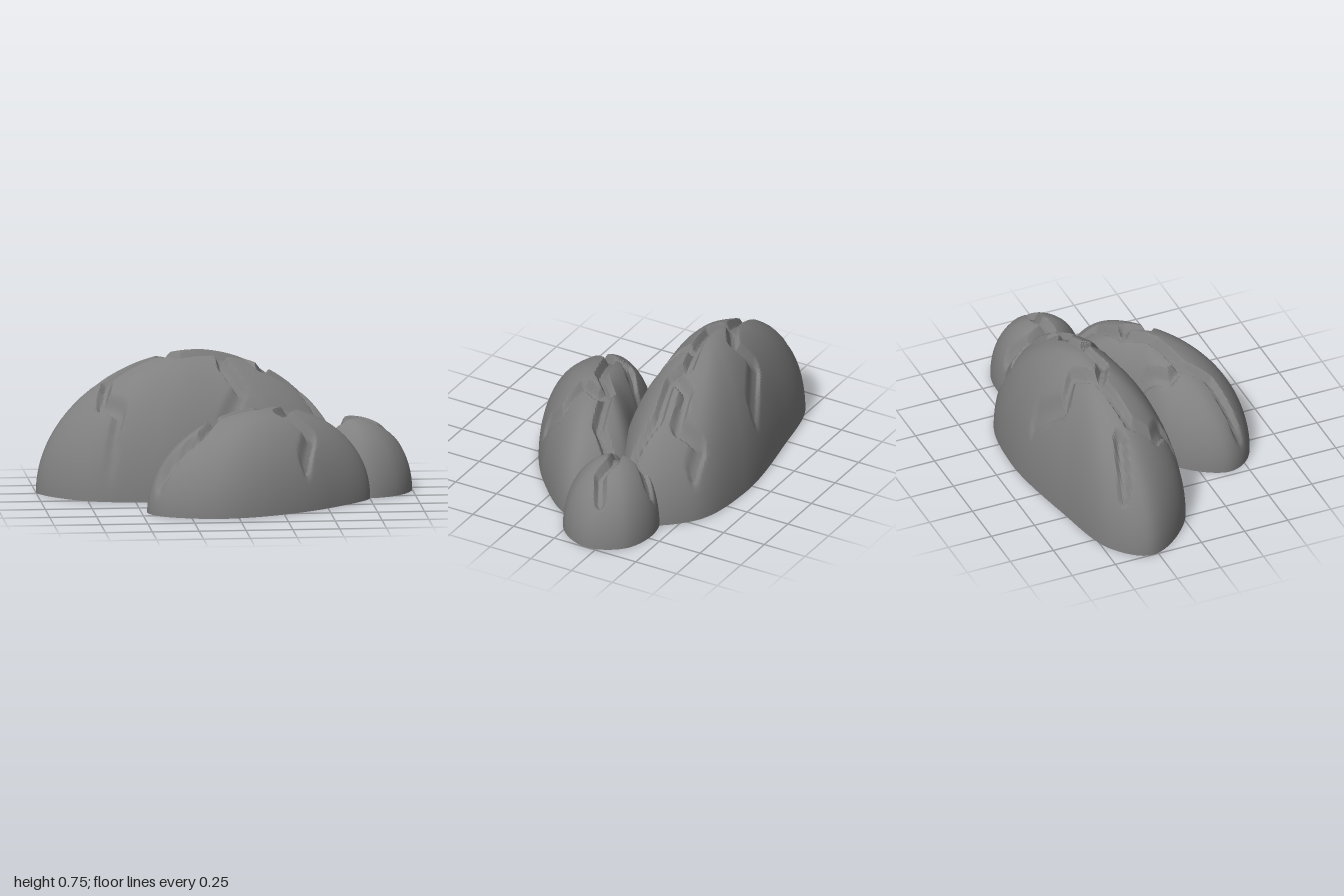
import * as THREE from 'three';
import { toCreasedNormals } from 'three/addons/utils/BufferGeometryUtils.js';

const { clamp } = THREE.MathUtils;

// Distance in plan from a point to the nearest crack; a crack is a flat list x, z, x, z...
function crackDistance(x, z, cracks) {
  let best = Infinity;
  for (const line of cracks) {
    for (let i = 0; i + 3 < line.length; i += 2) {
      const dx = line[i + 2] - line[i], dz = line[i + 3] - line[i + 1];
      const px = x - line[i], pz = z - line[i + 1];
      const t = clamp((px * dx + pz * dz) / (dx * dx + dz * dz), 0, 1);
      best = Math.min(best, Math.hypot(px - t * dx, pz - t * dz));
    }
  }
  return best;
}

// Dome built from scaled footprint rings, with grooves cut straight down along the cracks.
// The outline is a flat list x, z, x, z... that runs the same way round for every boulder.
function boulderGeometry(outline, cx, cz, height, power, around, rings, cracks) {
  const corners = [];
  for (let i = 0; i < outline.length; i += 2) corners.push(new THREE.Vector3(outline[i], 0, outline[i + 1]));
  const rim = new THREE.CatmullRomCurve3(corners, true).getSpacedPoints(around).slice(0, around);

  const positions = [], index = [];
  const addPoint = (x, z, r) => {
    const dome = height * Math.sqrt(Math.max(0, 1 - r ** power));
    const groove = clamp((0.036 - crackDistance(x, z, cracks)) / 0.024, 0, 1);
    positions.push(x, dome - 0.05 * groove * Math.min(1, dome / 0.25), z);
  };
  addPoint(cx, cz, 0);
  for (let k = 1; k <= rings; k++) {
    const r = k === rings ? 1 : Math.sin((k / rings) * Math.PI / 2);
    for (const p of rim) addPoint(cx + (p.x - cx) * r, cz + (p.z - cz) * r, r);
  }

  // dome faces and the flat underside
  const base = positions.length / 3, last = 1 + (rings - 1) * around;
  positions.push(cx, 0, cz);
  for (let i = 0; i < around; i++) {
    const j = (i + 1) % around;
    index.push(0, 1 + i, 1 + j, base, last + j, last + i);
    for (let k = 0; k < rings - 1; k++) {
      const a = 1 + k * around, b = a + around;
      index.push(a + i, b + i, b + j, a + i, b + j, a + j);
    }
  }
  const geometry = new THREE.BufferGeometry();
  geometry.setAttribute('position', new THREE.Float32BufferAttribute(positions, 3));
  geometry.setIndex(index);
  return toCreasedNormals(geometry, 0.5);
}

export function createModel() {
  const model = new THREE.Group();
  model.name = 'crackedBoulders';
  const stone = new THREE.MeshStandardMaterial({ color: 0x808080 });
  stone.name = 'stone grey';
  const add = (name, geometry) => {
    const mesh = new THREE.Mesh(geometry, stone);
    mesh.name = name;
    model.add(mesh);
  };

  // long tall boulder at the back: one crest crack with side branches
  const largeOutline = [-1, -0.28, -0.78, 0, -0.4, 0.09, 0.03, 0.045, 0.38, -0.03,
    0.655, -0.28, 0.46, -0.56, 0.08, -0.637, -0.45, -0.57, -0.86, -0.465];
  const largeCrest = [-0.64, 0.05, -0.57, -0.05, -0.66, -0.13, -0.62, -0.25, -0.355, -0.305,
    -0.24, -0.24, -0.02, -0.28, 0.11, -0.31, 0.19, -0.255, 0.4, -0.295, 0.59, -0.2];
  const largeBranches = [
    [-0.355, -0.305, -0.21, -0.4, -0.29, -0.48, -0.115, -0.57],
    [0.19, -0.255, 0.23, -0.37, 0.39, -0.4, 0.35, -0.52, 0.43, -0.52],
    [-0.02, -0.28, -0.01, -0.18, 0.08, -0.1, -0.02, 0],
    [-0.85, -0.38, -0.67, -0.33],
  ];
  add('largeBoulder', boulderGeometry(largeOutline, -0.15, -0.3, 0.755, 1.8, 220, 80,
    [largeCrest, ...largeBranches]));

  // lower boulder set diagonally in front
  const frontOutline = [-0.47, 0.39, -0.4, 0.53, -0.13, 0.63, 0.14, 0.58, 0.51, 0.35,
    0.755, 0.03, 0.5, -0.165, 0.08, 0, -0.3, 0.14];
  const frontCracks = [
    [-0.4, 0.47, -0.18, 0.4, -0.09, 0.28, 0.14, 0.21, 0.25, 0.1, 0.48, 0.03, 0.56, -0.1],
    [-0.09, 0.28, -0.12, 0.2, -0.02, 0.11, 0, 0.03],
    [0.25, 0.1, 0.32, 0.13, 0.25, 0.25, 0.41, 0.29, 0.37, 0.4],
  ];
  add('frontBoulder', boulderGeometry(frontOutline, 0.17, 0.2, 0.525, 2, 220, 80, frontCracks));

  // small round boulder at the left end
  const smallOutline = [1, -0.2, 0.9, -0.385, 0.69, -0.435, 0.52, -0.36, 0.52, -0.08, 0.73, 0.065, 0.91, -0.01];
  const smallCracks = [
    [0.54, -0.2, 0.62, -0.17, 0.72, -0.2, 0.82, -0.18, 0.91, -0.23],
    [0.62, -0.17, 0.6, -0.3, 0.66, -0.38],
  ];
  add('smallBoulder', boulderGeometry(smallOutline, 0.67, -0.19, 0.4, 2.1, 150, 46, smallCracks));
  return model;
}
